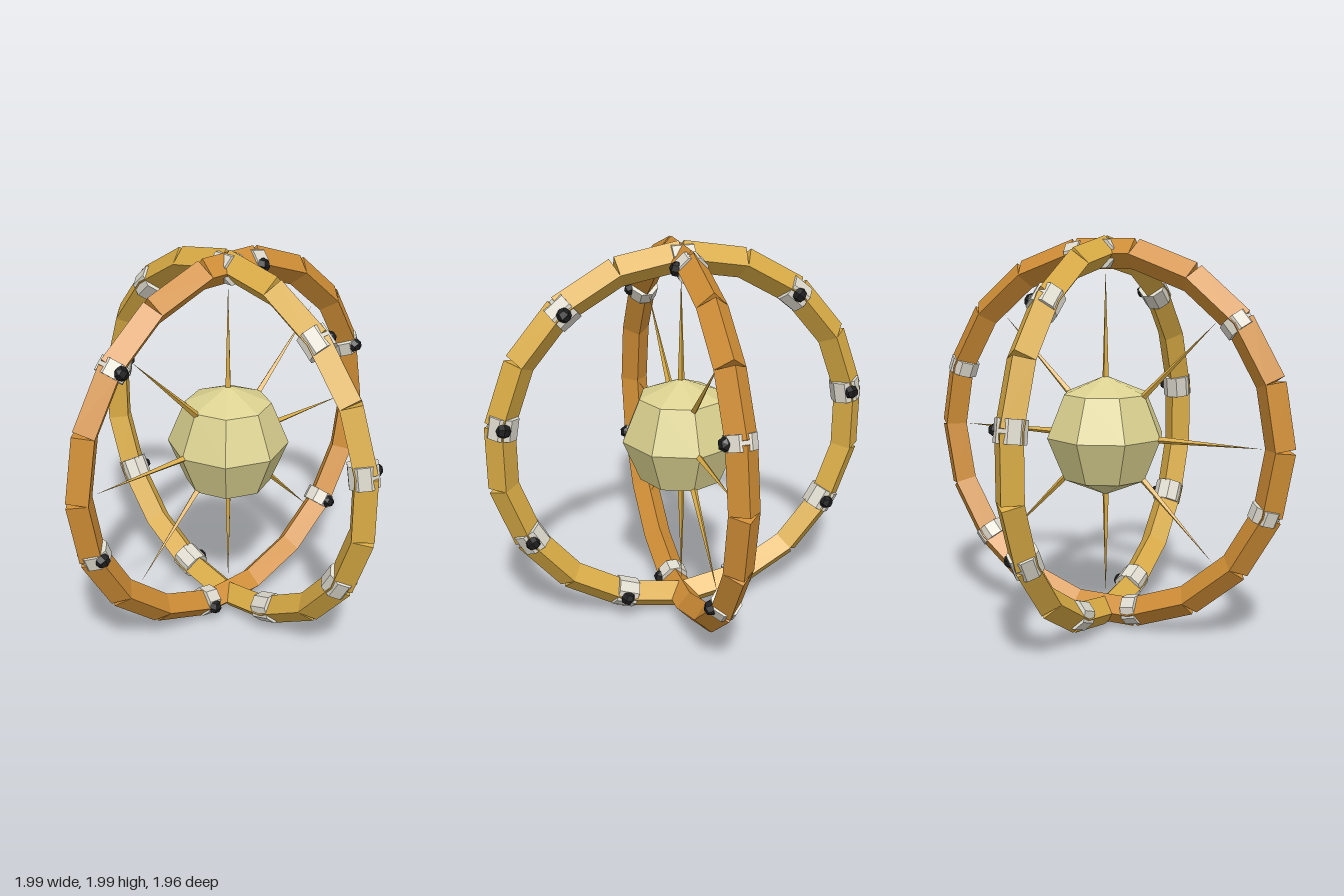
import * as THREE from 'three';

const RING_RADIUS = 0.906;
const SEGMENTS = 18;
const STEP = (Math.PI * 2) / SEGMENTS;
const deg = THREE.MathUtils.degToRad;

const flat = (name, color) => {
  const m = new THREE.MeshStandardMaterial({ color, flatShading: true });
  m.name = name;
  return m;
};

export function createModel() {
  const orange = flat('orange bronze', 0xd08e36);
  const gold = flat('gold', 0xd9ab45);
  const ivory = flat('pale yellow', 0xdbd190);
  const silver = flat('silver white', 0xdedace);
  const black = flat('black', 0x1c1c1c);

  const model = new THREE.Group();
  model.name = 'armillary';
  const centre = new THREE.Group();
  centre.name = 'centre';
  centre.position.y = 1;
  model.add(centre);

  // Adds a part at an angle clockwise from the top, at a distance from the centre
  function place(parent, name, geometry, material, angle, radius, z = 0, along = false) {
    const arm = new THREE.Group();
    arm.name = name + 'Arm';
    arm.rotation.z = -angle;
    const mesh = new THREE.Mesh(geometry, material);
    mesh.name = name;
    mesh.position.set(0, radius, z);
    if (along) mesh.rotation.z = Math.PI / 2;
    arm.add(mesh);
    parent.add(arm);
  }

  // Straight diamond-section bars, leaving wedge gaps on the outside of each joint
  const barGeo = new THREE.CylinderGeometry(0.075, 0.075, 0.32, 4);
  const studGeo = new THREE.SphereGeometry(0.037, 6, 4);

  function ring(name, material, barStart, collarStart, collarCount, collarLength) {
    const group = new THREE.Group();
    group.name = name;
    for (let i = 0; i < SEGMENTS; i++) {
      place(group, 'ringBar', barGeo, material, barStart + i * STEP, RING_RADIUS, 0, true);
    }
    // Eight-sided collars over some of the joints, each with a dark stud on one side
    const collarGeo = new THREE.CylinderGeometry(0.076, 0.076, collarLength, 8, 1, false, Math.PI / 8);
    for (let i = 0; i < collarCount; i++) {
      const angle = collarStart + (i * Math.PI * 2) / collarCount;
      place(group, 'collar', collarGeo, silver, angle, RING_RADIUS, 0, true);
      place(group, 'stud', studGeo, black, angle, RING_RADIUS + 0.006, 0.07);
    }
    centre.add(group);
    return group;
  }

  ring('crossRing', orange, 0, deg(10), 6, 0.075);
  ring('lengthRing', gold, deg(10), 0, 9, 0.11).rotation.y = Math.PI / 2;

  // Faceted core
  const core = new THREE.Mesh(new THREE.SphereGeometry(0.305, 8, 4), ivory);
  core.name = 'core';
  centre.add(core);

  // Eight thin spikes in the plane of the cross ring
  const spikeGeo = new THREE.ConeGeometry(0.018, 0.56, 4);
  for (let i = 0; i < 8; i++) {
    place(centre, 'spike', spikeGeo, gold, (i * Math.PI) / 4, 0.55);
  }

  return model;
}
